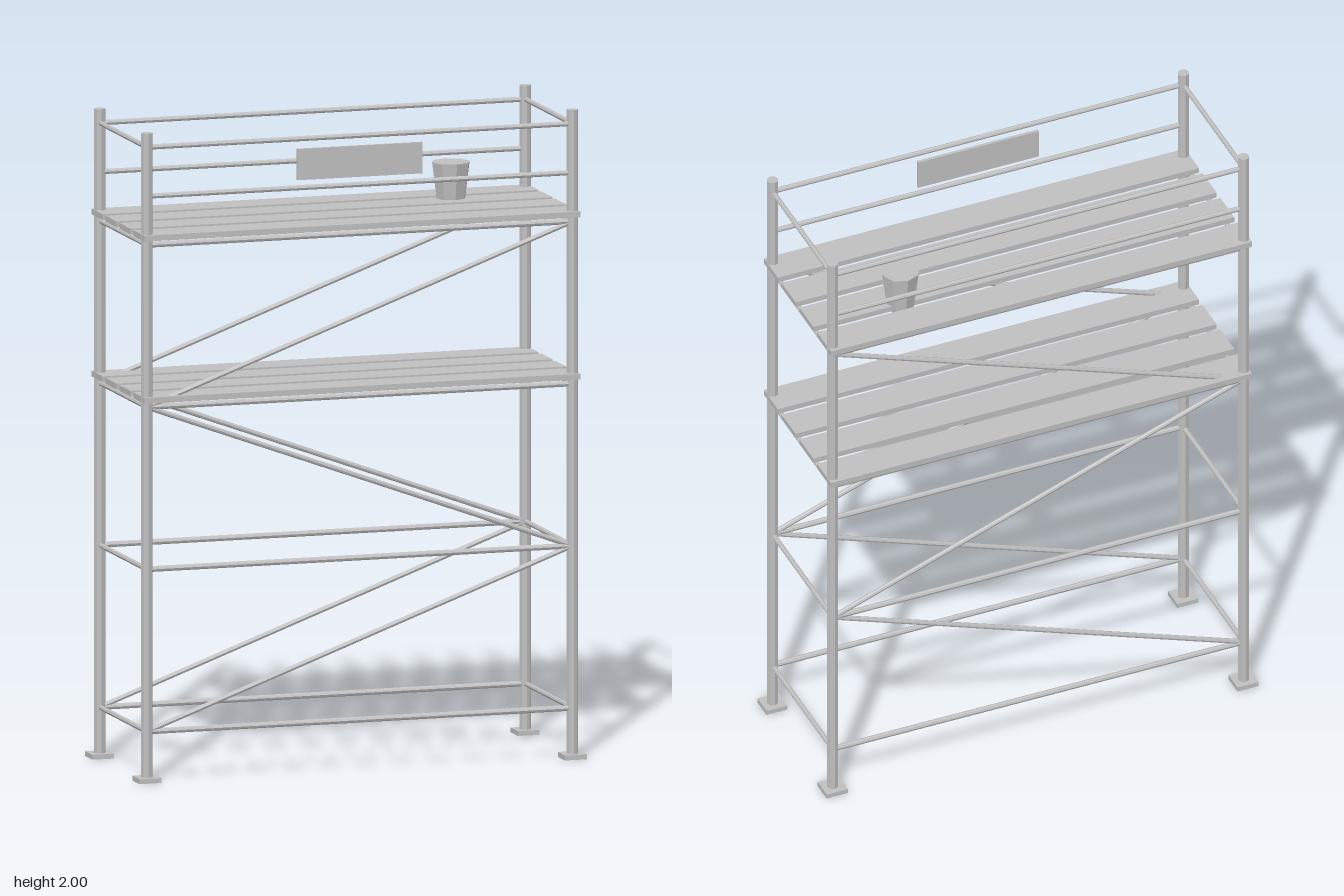
import * as THREE from 'three';

export function createModel() {
  const model = new THREE.Group();
  model.name = 'scaffold';

  const grey = new THREE.MeshStandardMaterial({ color: 0xc0c0c0, flatShading: true });
  grey.name = 'plain grey';

  const X = 0.68, Z = 0.23; // post positions

  function add(name, geometry, x, y, z) {
    const mesh = new THREE.Mesh(geometry, grey);
    mesh.name = name;
    mesh.position.set(x, y, z);
    model.add(mesh);
    return mesh;
  }

  // Round tube between two points
  function tube(name, a, b, radius, sides = 8) {
    const start = new THREE.Vector3(...a);
    const dir = new THREE.Vector3(...b).sub(start);
    const length = dir.length();
    const geometry = new THREE.CylinderGeometry(radius, radius, length, sides);
    const mid = start.addScaledVector(dir, 0.5);
    const mesh = add(name, geometry, mid.x, mid.y, mid.z);
    mesh.quaternion.setFromUnitVectors(new THREE.Vector3(0, 1, 0), dir.normalize());
  }

  // Corner posts and base plates
  for (const x of [-X, X]) {
    for (const z of [-Z, Z]) {
      tube('post', [x, 0, z], [x, 2, z], 0.018);
      add('basePlate', new THREE.BoxGeometry(0.07, 0.015, 0.07), x, 0.0075, z);
    }
  }

  const levels = [0.155, 0.655, 1.155, 1.655];

  // Long ledgers, guard rails and zigzag braces on both long sides
  for (const z of [-Z, Z]) {
    for (const y of levels) tube('ledger', [-X, y, z], [X, y, z], 0.009);
    for (const y of [1.805, 1.956]) tube('guardRail', [-X, y, z], [X, y, z], 0.008);
    for (let i = 0; i < 3; i++) {
      const side = i % 2 ? 1 : -1;
      tube('brace', [side * X, levels[i], z], [-side * X, levels[i + 1], z], 0.008);
    }
  }

  // Short cross rails at both ends
  for (const x of [-X, X]) {
    for (const y of [...levels, 1.956]) tube('crossRail', [x, y, -Z], [x, y, Z], 0.008);
  }

  // Two decks of four planks
  for (const y of [1.179, 1.679]) {
    for (let i = 0; i < 4; i++) {
      add('plank', new THREE.BoxGeometry(1.394, 0.018, 0.107), 0, y, (i - 1.5) * 0.1355);
    }
  }

  // Sign board between the front guard rails
  add('signBoard', new THREE.BoxGeometry(0.4, 0.096, 0.01), 0, 1.877, Z);

  // Tapered bucket on the top deck
  add('bucket', new THREE.CylinderGeometry(0.06, 0.043, 0.135, 8), 0.4, 1.7325, -0.1);

  return model;
}
